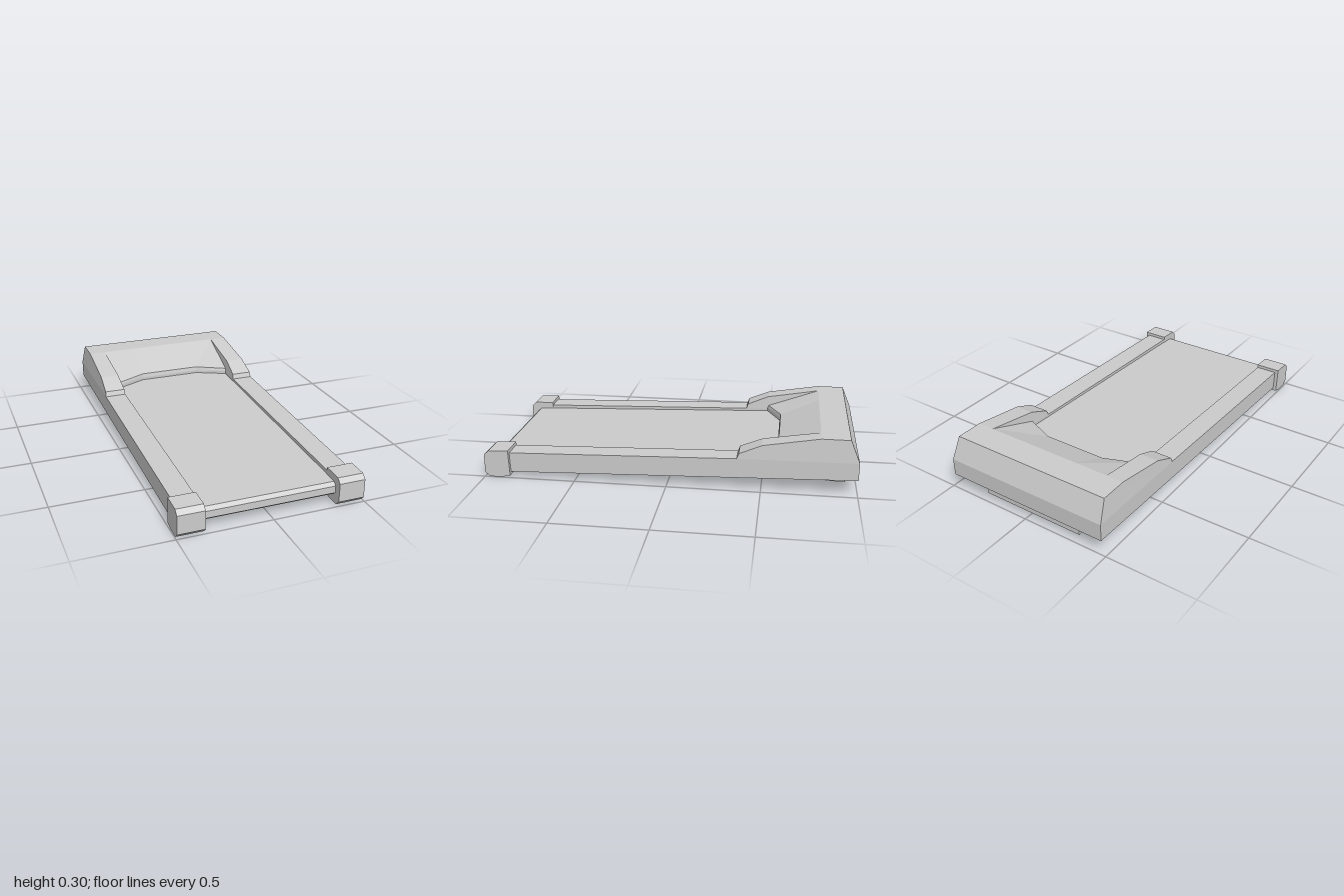
import * as THREE from 'three';

const material = new THREE.MeshStandardMaterial({ color: 0xcccccc, flatShading: true });

// Joins closed cross-sections (arrays of [x, y, z], ordered by rising x) and caps both ends.
// Each section runs front, top, back, bottom.
function loft(name, sections) {
  const pos = [];
  const tri = (a, b, c) => pos.push(...a, ...b, ...c);
  for (let s = 0; s < sections.length - 1; s++) {
    const p = sections[s], q = sections[s + 1];
    p.forEach((a, i) => {
      const j = (i + 1) % p.length;
      tri(a, q[i], q[j]);
      tri(a, q[j], p[j]);
    });
  }
  const first = sections[0], last = sections[sections.length - 1];
  const flat = (sec) => sec.map(([, y, z]) => new THREE.Vector2(z, y));
  for (const [a, b, c] of THREE.ShapeUtils.triangulateShape(flat(first), [])) tri(first[a], first[b], first[c]);
  for (const [a, b, c] of THREE.ShapeUtils.triangulateShape(flat(last), [])) tri(last[a], last[c], last[b]);

  const geometry = new THREE.BufferGeometry();
  geometry.setAttribute('position', new THREE.Float32BufferAttribute(pos, 3));
  geometry.computeVertexNormals();
  const mesh = new THREE.Mesh(geometry, material);
  mesh.name = name;
  return mesh;
}

// Places a [z, y] profile at x, where x may depend on the height
const at = (profile, x) => profile.map(([z, y]) => [typeof x === 'function' ? x(y) : x, y, z]);

// Lofts a profile between an inner and an outer x on the chosen side
function sidePart(name, profile, inner, outer, side) {
  const mirror = (sec) => sec.map(([x, y, z]) => [x * side, y, z]);
  const secs = [mirror(at(profile, inner)), mirror(at(profile, outer))];
  return loft(name, side > 0 ? secs : secs.reverse());
}

// Walls lean in above the rails
const lean = (y) => Math.max(0, y - 0.18) * 0.1;
const podInner = (y) => 0.355 + lean(y);
const podOuter = (y) => 0.475 - lean(y);

export function createModel() {
  const model = new THREE.Group();

  // Running belt with bevelled front edge
  const belt = [[0.96, 0.057], [0.96, 0.095], [0.94, 0.112], [-0.79, 0.172], [-0.79, 0.09], [0.94, 0.041]];
  model.add(loft('belt', [at(belt, -0.355), at(belt, 0.355)]));

  // Side rails, hood shoulders and front end caps
  const rail = [[0.9, 0.024], [0.9, 0.134], [-0.37, 0.172], [-1, 0.18], [-1, 0.085]];
  const shoulder = [[-0.37, 0.172], [-0.38, 0.2], [-0.5, 0.25], [-0.8, 0.3], [-0.95, 0.3], [-1, 0.18]];
  const cap = [[1, 0.025], [1, 0.125], [0.975, 0.149], [0.865, 0.153], [0.86, 0.01], [0.91, 0], [0.975, 0]];
  for (const side of [1, -1]) {
    const label = side > 0 ? 'left' : 'right';
    model.add(sidePart(label + 'Rail', rail, 0.355, 0.475, side));
    model.add(sidePart(label + 'HoodShoulder', shoulder, podInner, podOuter, side));
    model.add(sidePart(label + 'FrontCap', cap, 0.353, 0.495, side));
  }

  // Motor hood between the shoulders, its front lip recessed in the middle
  const hood = (lipZ, lipY) => [
    [lipZ, 0.15], [lipZ, 0.181], [lipZ - 0.005, lipY], [-0.8, 0.3], [-0.95, 0.3],
    [-1, 0.18], [-1, 0.085], [-0.78, 0.078], [-0.78, 0.15],
  ];
  const edge = hood(-0.5, 0.196), middle = hood(-0.577, 0.203);
  model.add(loft('motorHood', [
    at(edge, (y) => -podInner(y)), at(middle, -0.18), at(middle, 0.18), at(edge, podInner),
  ]));

  // Rear foot bar
  const foot = new THREE.Mesh(new THREE.BoxGeometry(0.6, 0.09, 0.105), material);
  foot.name = 'rearFoot';
  foot.position.set(0, 0.045, -0.8925);
  model.add(foot);

  return model;
}
